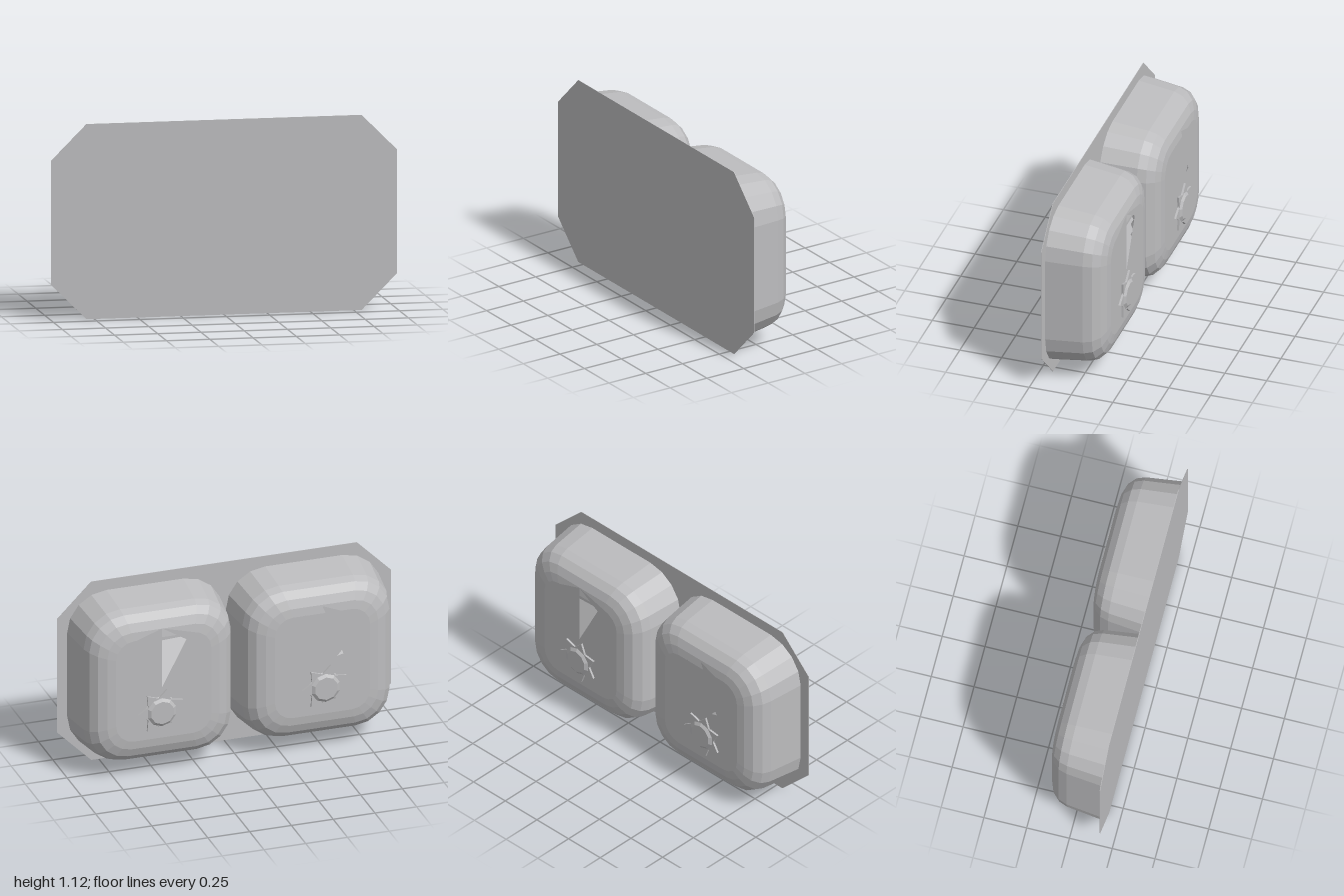
import * as THREE from 'three';

const steel = new THREE.MeshStandardMaterial({ color: 0xbcbcbe, side: THREE.DoubleSide, flatShading: true });
steel.name = 'brushed steel';

// Rounded rectangle outline, counterclockwise, centred on (cx, cy)
function outline(cx, cy, hw, hh, r, seg = 4) {
  const pts = [];
  [[1, 1], [-1, 1], [-1, -1], [1, -1]].forEach(([sx, sy], q) => {
    for (let i = 0; i <= seg; i++) {
      const a = (q + i / seg) * Math.PI / 2;
      pts.push(new THREE.Vector2(cx + sx * (hw - r) + r * Math.cos(a), cy + sy * (hh - r) + r * Math.sin(a)));
    }
  });
  return pts;
}

// Skin a stack of outlines, each { z, pts }
function loft(rings) {
  const n = rings[0].pts.length, pos = [], idx = [];
  rings.forEach(({ z, pts }) => pts.forEach(p => pos.push(p.x, p.y, z)));
  for (let i = 0; i < rings.length - 1; i++) {
    for (let j = 0; j < n; j++) {
      const a = i * n + j, b = i * n + (j + 1) % n, c = a + n, d = b + n;
      idx.push(a, c, b, b, c, d);
    }
  }
  const g = new THREE.BufferGeometry();
  g.setAttribute('position', new THREE.Float32BufferAttribute(pos, 3));
  g.setIndex(idx);
  g.computeVertexNormals();
  return g;
}

function add(parent, geometry, name) {
  const m = new THREE.Mesh(geometry, steel);
  m.name = name;
  parent.add(m);
  return m;
}

// One bowl; slot is the tapered opening above the drain
function makeBasin(side, slot) {
  const basin = new THREE.Group();
  basin.name = side > 0 ? 'leftBasin' : 'rightBasin';
  const cx = side * 0.475, cy = 0.56, hw = 0.465, hh = 0.495;

  // Walls: [z, inset] from the rim to the rounded bottom edge
  const profile = [[0.175, 0], [-0.04, 0.025], [-0.09, 0.042], [-0.13, 0.08], [-0.15, 0.13], [-0.157, 0.18]];
  const rings = profile.map(([z, d]) => ({ z, pts: outline(cx, cy, hw - d, hh - d, 0.235 - d * 0.7) }));
  add(basin, loft(rings), 'basinWall');

  // Bottom with its slot
  const shape = new THREE.Shape(rings[rings.length - 1].pts);
  const slotPts = slot.map(([x, y]) => new THREE.Vector2(x, y));
  shape.holes.push(new THREE.Path(slotPts));
  add(basin, new THREE.ShapeGeometry(shape), 'basinBottom').position.z = -0.157;

  // Recessed slats seen inside the slot
  for (let i = 0; i < 6; i++) {
    const slat = add(basin, new THREE.BoxGeometry(0.3, 0.075, 0.006), 'slotSlat');
    slat.position.set(cx, 0.56 + i * 0.068, -0.125);
    slat.rotation.x = 0.45;
  }

  // Low faceted drain with a jagged collar
  const star = new THREE.Shape();
  for (let i = 0; i < 14; i++) {
    const a = i / 14 * Math.PI * 2, r = i % 2 ? 0.09 : 0.14;
    star[i ? 'lineTo' : 'moveTo'](r * Math.cos(a), r * Math.sin(a));
  }
  star.closePath();
  const collar = add(basin, new THREE.ExtrudeGeometry(star, { depth: 0.012, bevelEnabled: false }), 'drainCollar');
  collar.position.set(side * 0.49, 0.41, -0.169);
  const drain = add(basin, new THREE.CylinderGeometry(0.1, 0.07, 0.02, 10), 'drain');
  drain.rotation.x = Math.PI / 2;
  drain.position.set(side * 0.49, 0.41, -0.171);
  return basin;
}

export function createModel() {
  const model = new THREE.Group();
  model.name = 'doubleBasin';

  // Thin plate with clipped corners
  const plate = new THREE.Shape();
  [[-0.795, 0], [0.795, 0], [1, 0.205], [1, 0.915], [0.795, 1.12], [-0.795, 1.12], [-1, 0.915], [-1, 0.205]]
    .forEach(([x, y], i) => plate[i ? 'lineTo' : 'moveTo'](x, y));
  plate.closePath();
  const top = add(model, new THREE.ExtrudeGeometry(plate, { depth: 0.003, bevelEnabled: false }), 'plate');
  top.position.z = 0.177;

  model.add(makeBasin(1, [[0.485, 0.56], [0.485, 0.93], [0.34, 0.84]]));
  model.add(makeBasin(-1, [[-0.37, 0.885], [-0.475, 0.92], [-0.6, 0.605], [-0.475, 0.57]]));
  return model;
}
